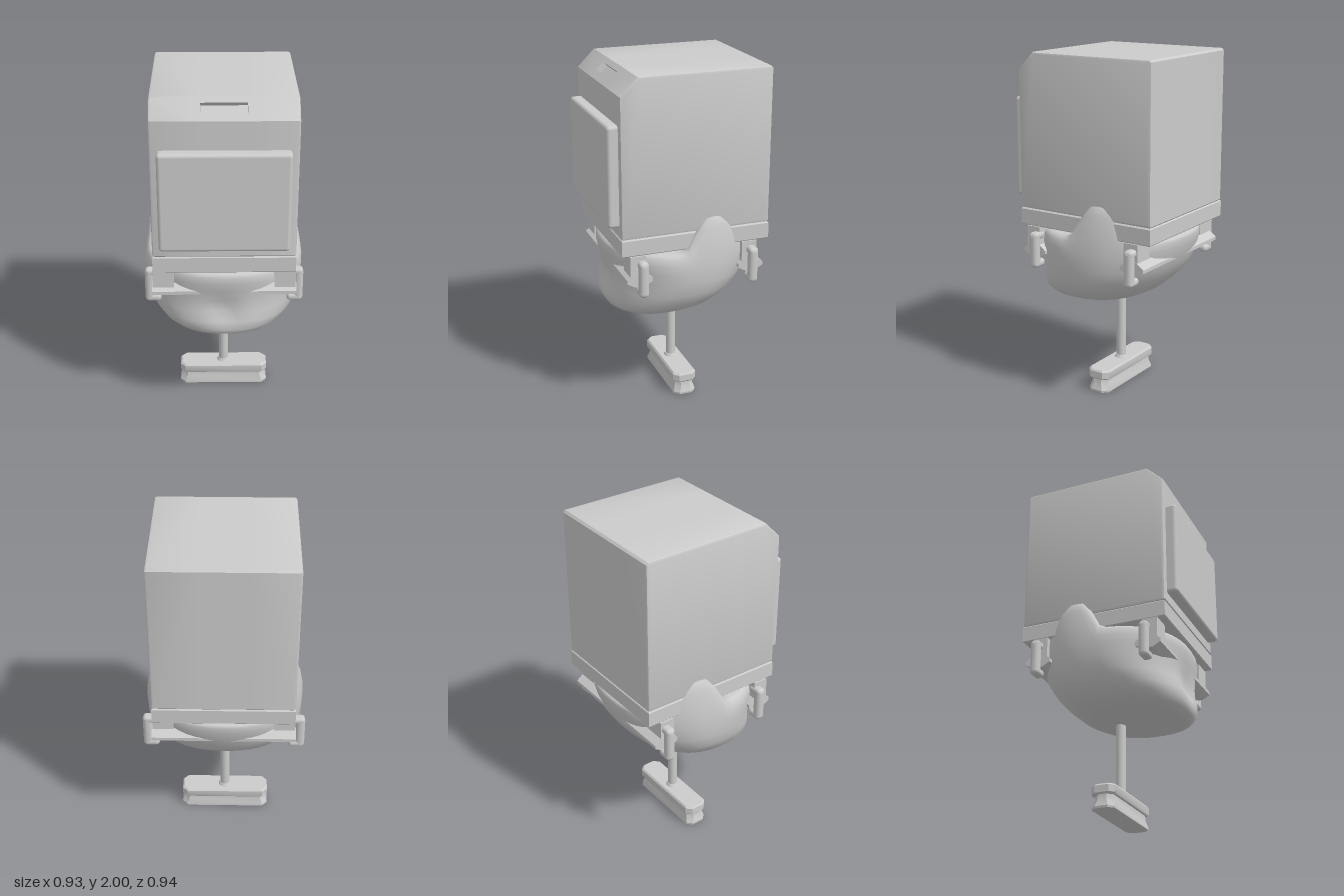
import * as THREE from 'three';
import { toCreasedNormals } from 'three/addons/utils/BufferGeometryUtils.js';
import { RoundedBoxGeometry } from 'three/addons/geometries/RoundedBoxGeometry.js';

const grey = new THREE.MeshStandardMaterial({ color: 0xcccccc });

function add(parent, name, geo, x = 0, y = 0, z = 0) {
  const mesh = new THREE.Mesh(geo, grey);
  mesh.name = name;
  mesh.position.set(x, y, z);
  parent.add(mesh);
  return mesh;
}

// Extrudes a [z, y] profile along x, from x0 to x1
function extrudeX(profile, x0, x1, bevel = 0) {
  const shape = new THREE.Shape(profile.map(([z, y]) => new THREE.Vector2(z, y)));
  const geo = new THREE.ExtrudeGeometry(shape, {
    depth: x1 - x0 - 2 * bevel, bevelEnabled: bevel > 0, bevelSize: bevel,
    bevelThickness: bevel, bevelOffset: -bevel, bevelSegments: 2,
  });
  return geo.rotateY(-Math.PI / 2).translate(x1 - bevel, 0, 0);
}

// Skins closed rings of equal length, ordered bottom to top
function loft(rings) {
  const n = rings[0].length, index = [];
  for (let i = 0; i < rings.length - 1; i++) {
    for (let j = 0; j < n; j++) {
      const a = i * n + j, b = i * n + (j + 1) % n;
      index.push(a, b, a + n, b, b + n, a + n);
    }
  }
  const geo = new THREE.BufferGeometry();
  geo.setAttribute('position', new THREE.Float32BufferAttribute(rings.flat(2), 3));
  geo.setIndex(index);
  geo.computeVertexNormals();
  return geo;
}

// Soft rounded body with a raised lobe on each side
function bodyGeometry() {
  // y, half width, front z, back z, lobe weight
  const levels = [
    [0.55, 0, 0.2, 0.2, 0], [0.552, 0.10, 0.28, 0.1, 0], [0.565, 0.22, 0.35, -0.08, 0],
    [0.585, 0.31, 0.39, -0.19, 0], [0.62, 0.365, 0.41, -0.26, 0], [0.67, 0.41, 0.41, -0.32, 0],
    [0.73, 0.44, 0.395, -0.375, 0], [0.80, 0.458, 0.39, -0.42, 0.05], [0.87, 0.465, 0.4, -0.445, 0.2],
    [0.92, 0.465, 0.41, -0.46, 0.45], [0.96, 0.455, 0.41, -0.465, 0.8], [0.98, 0.438, 0.4, -0.46, 0.98],
    [0.985, 0.415, 0.38, -0.44, 1], [0.985, 0.38, 0.35, -0.4, 0.9], [0.99, 0.33, 0.3, -0.33, 0.2],
    [1.0, 0.2, 0.18, -0.2, 0], [1.0, 0, 0, 0, 0],
  ];
  const soften = (v) => Math.sign(v) * Math.abs(v) ** 0.87;
  return loft(levels.map(([y, w, front, back, lobe]) => {
    const ring = [];
    for (let j = 0; j < 64; j++) {
      const a = j / 64 * Math.PI * 2;
      const x = w * soften(Math.sin(a));
      let z = (front + back) / 2 + (front - back) / 2 * soften(Math.cos(a));
      const lift = lobe * Math.exp(-(((z + 0.15) / 0.145) ** 4)) * THREE.MathUtils.smoothstep(Math.abs(x), 0.3, 0.4);
      if (z > 0.2) z -= 0.03 * Math.exp(-((x / 0.08) ** 2) - ((y - 0.73) / 0.07) ** 2);
      ring.push([x * (1 - 0.06 * lift), y + 0.2 * lift, z]);
    }
    return ring;
  }));
}

// Octagonal ring for the foot
function footRing([y, hx, hz]) {
  const c = 0.03, px = hx - c, pz = Math.max(hz - c, 0);
  return [[px, hz], [hx, pz], [hx, -pz], [px, -hz], [-px, -hz], [-hx, -pz], [-hx, pz], [-px, hz]]
    .map(([x, z]) => [x, y, z]);
}

export function createModel() {
  const model = new THREE.Group();

  // Cabinet with a sloped front edge; the middle section carries the handle slot
  const cabinet = new THREE.Group();
  cabinet.name = 'cabinet';
  model.add(cabinet);
  const lower = [[0.41, 1.9], [0.41, 1.108], [0.402, 1.1], [-0.462, 1.1], [-0.47, 1.108], [-0.47, 1.988], [-0.458, 2]];
  const sideProfile = [...lower, [0.31, 2]].reverse();
  const slotProfile = [...lower, [0.31, 2], [0.335, 1.975], [0.312, 1.952], [0.352, 1.912], [0.375, 1.935]].reverse();
  const slotHalf = 0.125;
  const side = extrudeX(sideProfile, slotHalf - 0.05, 0.4, 0.014);
  const p = side.attributes.position;
  for (let i = 0; i < p.count; i++) p.setX(i, Math.max(p.getX(i), slotHalf)); // flat inner end
  const sideGeo = toCreasedNormals(side, 0.5);
  add(cabinet, 'cabinetLeft', sideGeo);
  add(cabinet, 'cabinetRight', sideGeo).scale.x = -1;
  add(cabinet, 'cabinetMiddle', extrudeX(slotProfile, -slotHalf, slotHalf));

  // Door panel
  add(model, 'door', new RoundedBoxGeometry(0.72, 0.575, 0.1, 3, 0.02), 0, 1.45, 0.422);

  // Open frame beneath the cabinet
  const rectangle = (Type, x, z0, z1) => new Type([[-x, z0], [x, z0], [x, z1], [-x, z1]]
    .map(([a, b]) => new THREE.Vector2(a, -b)));
  const frame = rectangle(THREE.Shape, 0.394, -0.464, 0.404);
  frame.holes.push(rectangle(THREE.Path, 0.35, -0.42, 0.36));
  const frameGeo = new THREE.ExtrudeGeometry(frame, {
    depth: 0.088, bevelSize: 0.006, bevelThickness: 0.006, bevelSegments: 1,
  });
  add(model, 'baseFrame', frameGeo.rotateX(-Math.PI / 2).translate(0, 1.006, 0));

  add(model, 'body', bodyGeometry());

  // Cross rails with hangers and side clamps, front and back
  const railProfile = [[-0.075, 0.845], [-0.03, 0.82], [0.03, 0.82], [0.075, 0.845],
    [0.075, 0.865], [0.03, 0.9], [-0.03, 0.9], [-0.075, 0.865]];
  for (const [end, railZ, clampZ, clampX] of [['front', 0.31, 0.295, 0.425], ['back', -0.36, -0.36, 0.435]]) {
    const group = new THREE.Group();
    group.name = end + 'Mount';
    model.add(group);
    add(group, 'rail', extrudeX(railProfile, -0.41, 0.41), 0, 0, railZ);
    for (const s of [1, -1]) {
      add(group, 'hanger', new THREE.BoxGeometry(0.12, 0.13, 0.09), s * 0.345, 0.935, railZ + 0.01);
      add(group, 'clampPost', new RoundedBoxGeometry(0.055, 0.21, 0.056, 3, 0.025), s * clampX, 0.865, clampZ);
      for (const y of [0.785, 0.95]) {
        add(group, 'clampHook', new RoundedBoxGeometry(0.09, 0.045, 0.056, 3, 0.02), s * (clampX - 0.02), y, clampZ);
      }
    }
  }

  // Stem and foot
  const footZ = -0.022;
  add(model, 'stem', new THREE.CylinderGeometry(0.028, 0.028, 0.5, 24), 0, 0.37, footZ);
  add(model, 'stemCollar', new THREE.CylinderGeometry(0.032, 0.042, 0.02, 24), 0, 0.142, footZ);
  const footLevels = [[0, 0.03, 0], [0, 0.268, 0.068], [0.012, 0.27, 0.068], [0.05, 0.256, 0.056], [0.08, 0.254, 0.055],
    [0.08, 0.262, 0.068], [0.088, 0.268, 0.072], [0.127, 0.268, 0.072], [0.137, 0.26, 0.064], [0.137, 0.03, 0]];
  add(model, 'foot', toCreasedNormals(loft(footLevels.map(footRing)), 0.5), 0, 0, footZ);

  return model;
}
